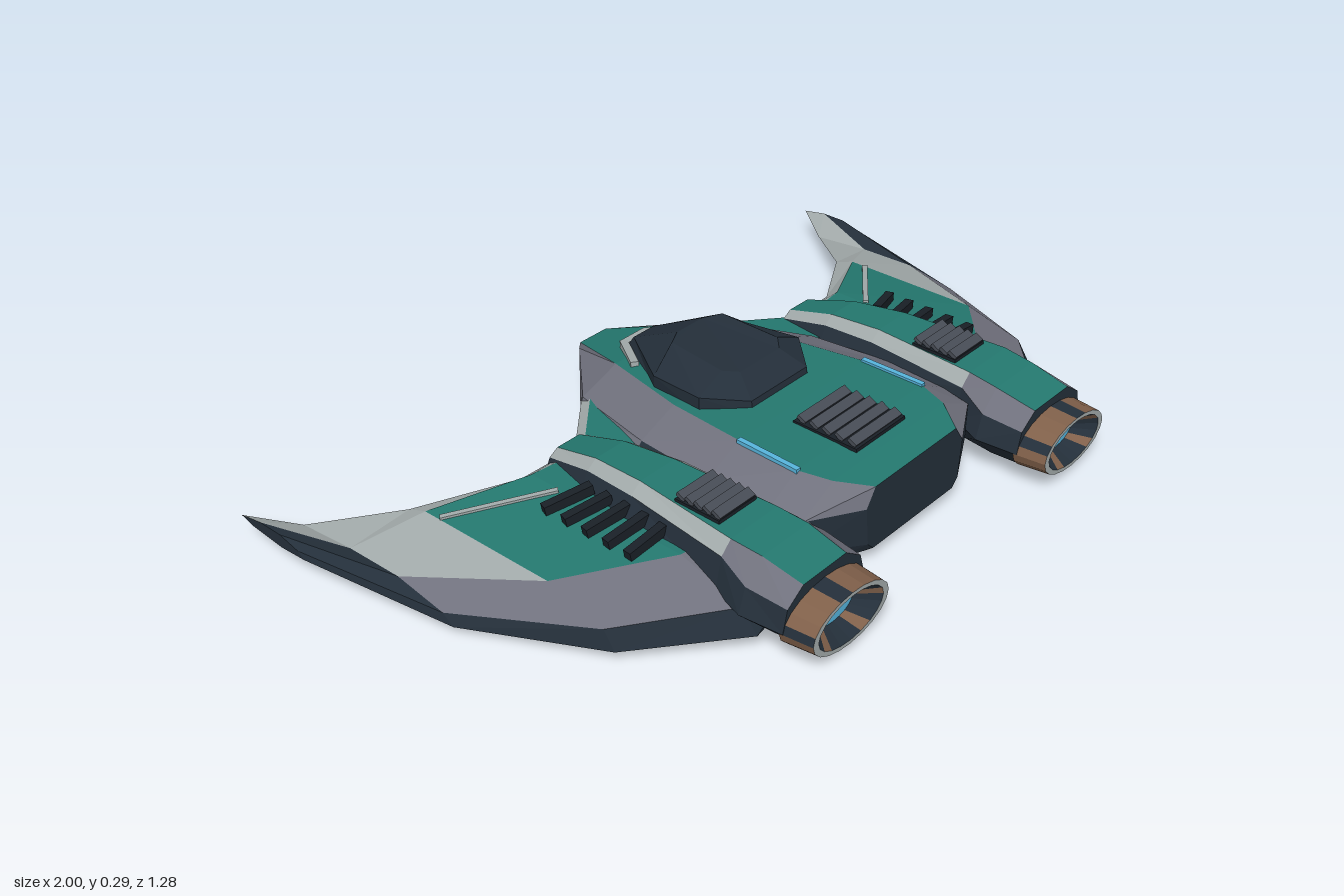
import * as THREE from 'three';

const mat = (name, color) => new THREE.MeshStandardMaterial({ name, color });
const M = [
  mat('teal', 0x24786f), mat('lightGrey', 0xa3abab), mat('grey', 0x70717d), mat('darkHull', 0x242f3a),
  mat('black', 0x1a2027), mat('copper', 0x80604a), mat('blueGlow', 0x56b4dc), mat('slatGrey', 0x474c55),
];
const [TEAL, LIGHT, GREY, DARK, BLACK, COPPER, BLUE, SLAT] = M.map((_, i) => i);

// Closed, faceted loft through rings of points; colour(i, j) picks the material of each panel
function loft(name, rings, colour, startCap = DARK, endCap = DARK) {
  const tris = [];
  const n = rings[0].length, last = rings.length - 1;
  for (let i = 0; i < last; i++) {
    for (let j = 0; j < n; j++) {
      const k = (j + 1) % n, m = colour(i, j);
      const a = rings[i][j], b = rings[i][k], c = rings[i + 1][k], d = rings[i + 1][j];
      tris.push([m, a, d, c], [m, a, c, b]);
    }
  }
  for (let j = 1; j < n - 1; j++) {
    tris.push([startCap, rings[0][0], rings[0][j], rings[0][j + 1]]);
    tris.push([endCap, rings[last][0], rings[last][j + 1], rings[last][j]]);
  }
  // Turn the faces outward by the sign of the enclosed volume
  const v = (p) => new THREE.Vector3(...p);
  const volume = tris.reduce((s, [, a, b, c]) => s + v(a).dot(v(b).cross(v(c))), 0);
  tris.sort((s, t) => s[0] - t[0]);
  const geo = new THREE.BufferGeometry(), pos = [], used = [];
  for (const [m, a, b, c] of tris) {
    if (used[used.length - 1] !== m) {
      used.push(m);
      geo.addGroup(pos.length / 3, 0, used.length - 1);
    }
    geo.groups[geo.groups.length - 1].count += 3;
    pos.push(...a, ...(volume < 0 ? [...c, ...b] : [...b, ...c]));
  }
  geo.setAttribute('position', new THREE.Float32BufferAttribute(pos, 3));
  geo.computeVertexNormals();
  const mesh = new THREE.Mesh(geo, used.map((m) => M[m]));
  mesh.name = name;
  return mesh;
}

// Box stretched between two points
function beam(name, a, b, w, h, m) {
  const A = new THREE.Vector3(...a), B = new THREE.Vector3(...b);
  const mesh = new THREE.Mesh(new THREE.BoxGeometry(w, h, A.distanceTo(B)), M[m]);
  mesh.position.copy(A).add(B).multiplyScalar(0.5);
  mesh.lookAt(B);
  mesh.name = name;
  return mesh;
}

// Row of tilted slats over a dark backing plate
function vent(name, x, y, z0, z1, width, count) {
  const g = new THREE.Group();
  g.name = name;
  const back = new THREE.Mesh(new THREE.BoxGeometry(width, 0.009, z1 - z0), M[BLACK]);
  back.position.set(x, y, (z0 + z1) / 2);
  back.name = 'ventBacking';
  g.add(back);
  for (let i = 0; i < count; i++) {
    const slat = new THREE.Mesh(new THREE.BoxGeometry(width * 0.94, 0.01, 0.024), M[SLAT]);
    slat.position.set(x, y + 0.011, z0 + ((i + 0.5) * (z1 - z0)) / count);
    slat.rotation.x = 0.5;
    slat.name = 'ventSlat';
    g.add(slat);
  }
  return g;
}

const mirrorRing = (half) => [...half, ...half.map(([x, y, z]) => [-x, y, z]).reverse()];

function fuselage() {
  // z, then half width and height of deck edge, shoulder, waist and keel
  const rows = [
    [-0.525, 0.045, 0.13, 0.05, 0.115, 0.05, 0.105, 0.045, 0.095],
    [-0.32, 0.125, 0.185, 0.24, 0.145, 0.25, 0.12, 0.12, 0.055],
    [-0.06, 0.2, 0.212, 0.31, 0.168, 0.35, 0.12, 0.2, 0],
    [0.16, 0.225, 0.222, 0.33, 0.172, 0.36, 0.11, 0.25, 0],
    [0.33, 0.23, 0.22, 0.32, 0.17, 0.34, 0.06, 0.29, 0],
    [0.41, 0.205, 0.215, 0.31, 0.162, 0.31, 0.08, 0.26, 0.015],
    [0.485, 0.15, 0.205, 0.18, 0.16, 0.17, 0.06, 0.15, 0.04],
  ];
  const rings = rows.map(([z, ...p]) => mirrorRing([0, 2, 4, 6].map((k) => [p[k], p[k + 1], z])));
  const colours = [GREY, GREY, DARK, DARK, DARK, GREY, GREY, TEAL];
  return loft('fuselage', rings, (i, j) => (i > 1 && (j === 1 || j === 5) ? DARK : colours[j]));
}

function canopy() {
  const rings = [
    [[0.04, 0.17, -0.37], [0.16, 0.19, -0.16], [0.18, 0.2, 0], [0.1, 0.2, 0.095]],
    [[0.035, 0.21, -0.345], [0.165, 0.235, -0.155], [0.18, 0.245, 0], [0.1, 0.235, 0.09]],
    [[0.045, 0.287, -0.19], [0.09, 0.289, -0.165], [0.1, 0.281, 0], [0.07, 0.276, 0.03]],
  ];
  return loft('canopy', rings.map(mirrorRing), () => DARK);
}

function nacelle(s) {
  // z, centre x, half widths (top, bevel, side), heights (top, bevel, side, bottom)
  const rows = [
    [-0.19, 0.415, 0.035, 0.06, 0.07, 0.165, 0.15, 0.13, 0.09],
    [-0.05, 0.42, 0.045, 0.072, 0.1, 0.205, 0.185, 0.13, 0.06],
    [0.1, 0.425, 0.055, 0.085, 0.12, 0.22, 0.197, 0.13, 0.04],
    [0.38, 0.43, 0.075, 0.105, 0.125, 0.216, 0.187, 0.11, 0.03],
    [0.46, 0.425, 0.075, 0.128, 0.15, 0.208, 0.16, 0.1, 0.025],
    [0.565, 0.425, 0.07, 0.12, 0.135, 0.185, 0.15, 0.095, 0.025],
  ];
  const rings = rows.map(([z, c, t, b, m, yt, yb, ym, y0]) => [
    [c - t, yt], [c + t, yt], [c + b, yb], [c + m, ym],
    [c + t, y0], [c - t, y0], [c - m, ym], [c - b, yb],
  ].map(([x, y]) => [s * x, y, z]));
  return loft('engineNacelle', rings, (i, j) => {
    if (j === 0) return TEAL;
    if (j === 1 || j === 7) return i < 3 ? LIGHT : GREY;
    return DARK;
  });
}

function nozzle(s) {
  // z and scale of each elliptical ring, from the shroud over the lip into the throat
  const rings = [[0.555, 1], [0.637, 0.93], [0.637, 0.8], [0.59, 0.47]].map(([z, r]) =>
    Array.from({ length: 20 }, (_, j) => {
      const a = (j / 20) * Math.PI * 2;
      return [s * (0.425 + 0.135 * r * Math.cos(a)), 0.094 + 0.071 * r * Math.sin(a), z];
    }));
  return loft('engineNozzle', rings, (i, j) => {
    if (i === 1) return LIGHT;
    return (i === 0 ? j % 4 !== 0 : j % 4 === 1) ? COPPER : DARK;
  }, DARK, BLUE);
}

function wing(s) {
  // x, then z and y around the section: leading edge, upper seams, trailing edge, underside
  const rows = [
    [0.36, -0.2, 0.125, -0.15, 0.15, 0.3, 0.15, 0.46, 0.11, 0.46, 0.05, 0.2, 0.03, -0.12, 0.07],
    [0.55, -0.205, 0.125, -0.17, 0.152, 0.28, 0.152, 0.45, 0.1, 0.49, 0.045, 0.2, 0.03, -0.12, 0.07],
    [0.765, -0.34, 0.095, -0.285, 0.115, 0.1, 0.118, 0.26, 0.075, 0.29, 0.03, 0.1, 0.027, -0.2, 0.045],
    [0.92, -0.525, 0.05, -0.36, 0.066, -0.2, 0.07, -0.06, 0.045, -0.03, 0.022, -0.2, 0.02, -0.48, 0.022],
    [1, -0.64, 0.067, -0.57, 0.08, -0.5, 0.08, -0.44, 0.065, -0.42, 0.05, -0.5, 0.045, -0.6, 0.055],
  ];
  const rings = rows.map(([x, ...p]) => [0, 2, 4, 6, 8, 10, 12].map((k) => [s * x, p[k + 1], p[k]]));
  const panels = [[LIGHT, TEAL, GREY], [LIGHT, TEAL, GREY], [LIGHT, LIGHT, GREY], [LIGHT, DARK, DARK]];
  return loft('wing', rings, (i, j) => (j < 3 ? panels[i][j] : j === 6 ? LIGHT : DARK));
}

// Small fin bridging nose and nacelle
function strake(s) {
  const rings = [[0.2, -0.36, -0.33, -0.2], [0.385, -0.2, -0.17, 0]].map(([x, a, b, c]) =>
    [[0.135, a], [0.15, b], [0.155, c], [0.11, c], [0.115, a]].map(([y, z]) => [s * x, y, z]));
  return loft('strake', rings, (i, j) => [LIGHT, TEAL, DARK, DARK, LIGHT][j]);
}

export function createModel() {
  const model = new THREE.Group();
  model.name = 'spacecraft';
  model.add(fuselage(), canopy(), vent('deckVent', 0, 0.222, 0.205, 0.385, 0.18, 5));
  model.add(beam('canopyTrimFront', [-0.04, 0.177, -0.375], [0.04, 0.177, -0.375], 0.022, 0.02, LIGHT));
  for (const s of [-1, 1]) {
    const side = new THREE.Group();
    side.name = s > 0 ? 'leftSide' : 'rightSide';
    side.add(wing(s), nacelle(s), nozzle(s), strake(s));
    side.add(vent('nacelleVent', s * 0.425, 0.221, 0.205, 0.33, 0.12, 5));
    side.add(beam('canopyTrim', [s * 0.035, 0.177, -0.38], [s * 0.11, 0.192, -0.27], 0.02, 0.02, LIGHT));
    side.add(beam('lightStrip', [s * 0.226, 0.222, 0.16], [s * 0.23, 0.22, 0.335], 0.014, 0.012, BLUE));
    // Pale line across the inner wing panel
    side.add(beam('wingStripe', [s * 0.555, 0.153, -0.08], [s * 0.762, 0.117, -0.24], 0.014, 0.008, LIGHT));
    // Cooling ribs beside the nacelle
    for (let i = 0; i < 5; i++) {
      const z = -0.04 + i * 0.057;
      side.add(beam('coolingRib', [s * 0.515, 0.17, z + 0.025 - i * 0.002],
        [s * 0.625, 0.15, z - 0.015 + i * 0.006], 0.022, 0.024, BLACK));
    }
    model.add(side);
  }
  return model;
}
